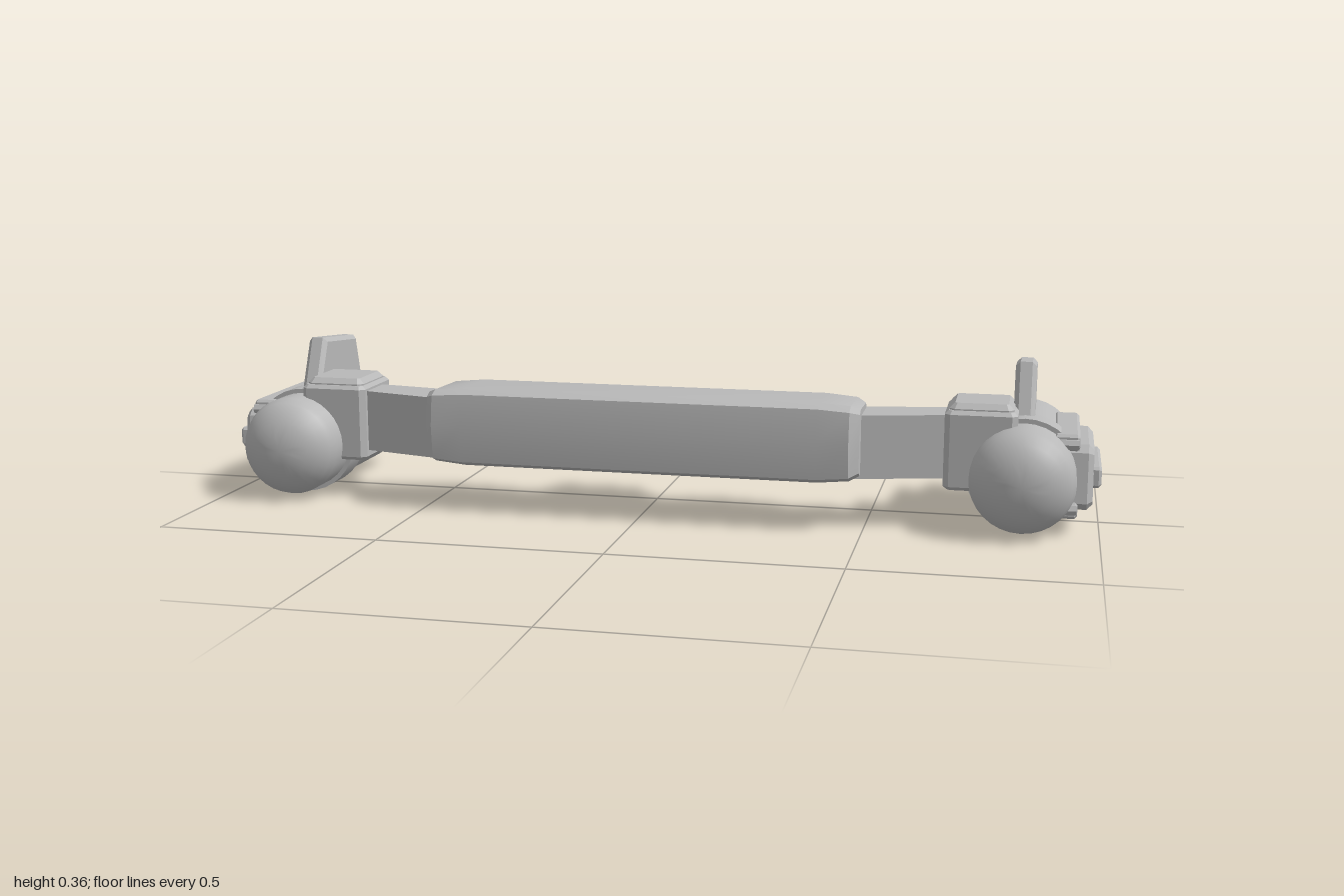
import * as THREE from 'three';
import { toCreasedNormals } from 'three/addons/utils/BufferGeometryUtils.js';

const grey = new THREE.MeshStandardMaterial({ color: 0xb8b8b8 });
grey.name = 'matte grey';

function add(parent, name, geometry, x = 0, y = 0, z = 0) {
  const mesh = new THREE.Mesh(geometry, grey);
  mesh.name = name;
  mesh.position.set(x, y, z);
  parent.add(mesh);
  return mesh;
}

// Outline extruded along +z from z = 0, with the front edge bevelled inwards
function plate(points, depth, bevel) {
  const shape = new THREE.Shape(points.map(([x, y]) => new THREE.Vector2(x, y)));
  const geo = new THREE.ExtrudeGeometry(shape, {
    depth: depth - 2 * bevel, bevelEnabled: bevel > 0, bevelThickness: bevel,
    bevelSize: bevel, bevelOffset: -bevel, bevelSegments: 1, steps: 1,
  });
  return geo.translate(0, 0, bevel);
}

// Rectangle or trapezoid outline with clipped corners
function outline(wBottom, wTop, h, c) {
  const b = wBottom / 2, t = wTop / 2, y = h / 2;
  return [[-b + c, -y], [b - c, -y], [b, -y + c], [t, y - c], [t - c, y], [-t + c, y], [-t, y - c], [-b, -y + c]];
}

// Central body lofted along x, with tapering ends
function bodyGeometry() {
  const loop = [[0.03, 0.125], [0.03, 0.255], [0.052, 0.278], [0.2, 0.283], [0.226, 0.272],
    [0.236, 0.2], [0.228, 0.118], [0.2, 0.106], [0.052, 0.106]];
  const half = [[0.40, 1, 1], [0.47, 0.93, 0.96], [0.49, 0.83, 0.7]];
  const sections = [...half.map(([x, a, b]) => [-x, a, b]).reverse(), ...half];
  const n = loop.length, pos = [], idx = [];
  for (const [x, sy, sz] of sections)
    for (const [z, y] of loop) pos.push(x, 0.194 + (y - 0.194) * sy, 0.133 + (z - 0.133) * sz);
  for (let i = 0; i < sections.length - 1; i++)
    for (let j = 0; j < n; j++) {
      const a = i * n + j, b = i * n + (j + 1) % n;
      idx.push(a, b, a + n, b, b + n, a + n);
    }
  const last = (sections.length - 1) * n;
  for (let j = 1; j < n - 1; j++) idx.push(0, j + 1, j, last, last + j, last + j + 1);
  const geo = new THREE.BufferGeometry();
  geo.setAttribute('position', new THREE.Float32BufferAttribute(pos, 3));
  geo.setIndex(idx);
  return toCreasedNormals(geo, 0.45);
}

// One side of the model, built for +x
function createSide() {
  const side = new THREE.Group();

  // Arm sweeping back from the body to the elbow
  const arm = plate([[0.46, -0.178], [0.74, -0.103], [0.74, -0.013], [0.46, -0.063]], 0.14, 0);
  add(side, 'arm', arm.rotateX(-Math.PI / 2), 0, 0.112, 0);

  // Elbow block with a raised cap
  const block = plate(outline(0.155, 0.155, 0.17, 0.012), 0.175, 0.008).rotateX(-Math.PI / 2);
  add(side, 'elbowBlock', block, 0.743, 0.09, 0.06);
  const cap = plate(outline(0.138, 0.138, 0.145, 0.012), 0.04, 0.012).rotateX(-Math.PI / 2);
  add(side, 'elbowCap', cap, 0.743, 0.24, 0.06);

  const pod = new THREE.Group();
  pod.name = 'pod';
  pod.position.set(0.835, 0.125, 0);
  side.add(pod);

  // Pod shell: rear plug, barrel and domed nose
  const profile = [[0, -0.25], [0.102, -0.25], [0.102, -0.207], [0.113, -0.207], [0.113, 0.18],
    [0.11, 0.185], [0.106, 0.202], [0.088, 0.22], [0.065, 0.237], [0.034, 0.246], [0, 0.25]];
  const shell = new THREE.LatheGeometry(profile.map(([r, z]) => new THREE.Vector2(r, z)), 32);
  add(pod, 'podShell', toCreasedNormals(shell.rotateX(Math.PI / 2), 0.6));
  const band = new THREE.CylinderGeometry(0.123, 0.123, 0.068, 32).rotateX(Math.PI / 2);
  add(pod, 'podBand', band, 0, 0, 0.071);

  // Fin on top of the pod
  const fin = plate([[-0.073, 0.1], [-0.017, 0.233], [0.167, 0.215], [0.197, 0.1]].reverse(), 0.046, 0.01);
  add(pod, 'fin', fin.rotateY(Math.PI / 2), -0.026, 0, 0);

  // Rounded nub behind the elbow
  const nub = new THREE.CapsuleGeometry(0.028, 0.09, 6, 12).rotateX(Math.PI / 2);
  add(pod, 'nub', nub, -0.076, 0.075, -0.03);

  // Outer side panel with a raised bar
  const panel = plate(outline(0.278, 0.245, 0.14, 0.016), 0.075, 0.012).rotateY(Math.PI / 2);
  add(pod, 'sidePanel', panel, 0.073, 0, -0.013);
  const bar = plate(outline(0.232, 0.232, 0.046, 0.006), 0.03, 0.006).rotateY(Math.PI / 2);
  add(pod, 'sideBar', bar, 0.135, 0, -0.012);

  // Rails above and below the panel, with hexagonal rods at their ends
  for (const [y, length] of [[0.077, 0.27], [-0.069, 0.295]]) {
    const rail = plate(outline(length, length, 0.036, 0.006), 0.055, 0.006).rotateY(Math.PI / 2);
    add(pod, 'rail', rail, 0.062, y, -0.013);
    for (const s of [-1, 1]) {
      const rod = new THREE.CylinderGeometry(0.012, 0.012, 0.06, 6).toNonIndexed().rotateZ(Math.PI / 2);
      rod.computeVertexNormals();
      add(pod, 'railRod', rod, 0.085, y - Math.sign(y) * 0.003, -0.013 + s * length / 2);
    }
  }
  return side;
}

export function createModel() {
  const model = new THREE.Group();
  model.name = 'crossbarWithPods';
  add(model, 'centralBody', bodyGeometry());

  // Housing in the middle of the back
  const back = new THREE.Group();
  back.name = 'backDetails';
  back.rotation.y = Math.PI;
  model.add(back);
  add(back, 'backHousing', plate(outline(0.22, 0.2, 0.1, 0.015), 0.06, 0.012), 0, 0.195, -0.04);
  add(back, 'backConnector', plate(outline(0.17, 0.17, 0.05, 0.004), 0.05, 0), 0, 0.195, 0.005);

  // Flanged latches on either side of it
  for (const s of [-1, 1]) {
    add(back, 'latchFlange', plate(outline(0.21, 0.21, 0.032, 0.004), 0.04, 0.004), s * 0.31, 0.19, -0.05);
    add(back, 'latchBlock', plate(outline(0.14, 0.14, 0.075, 0.012), 0.04, 0.008), s * 0.31, 0.195, -0.047);
  }

  for (const s of [1, -1]) {
    const side = createSide();
    side.name = s > 0 ? 'leftSide' : 'rightSide';
    side.scale.x = s;
    model.add(side);
  }
  return model;
}
